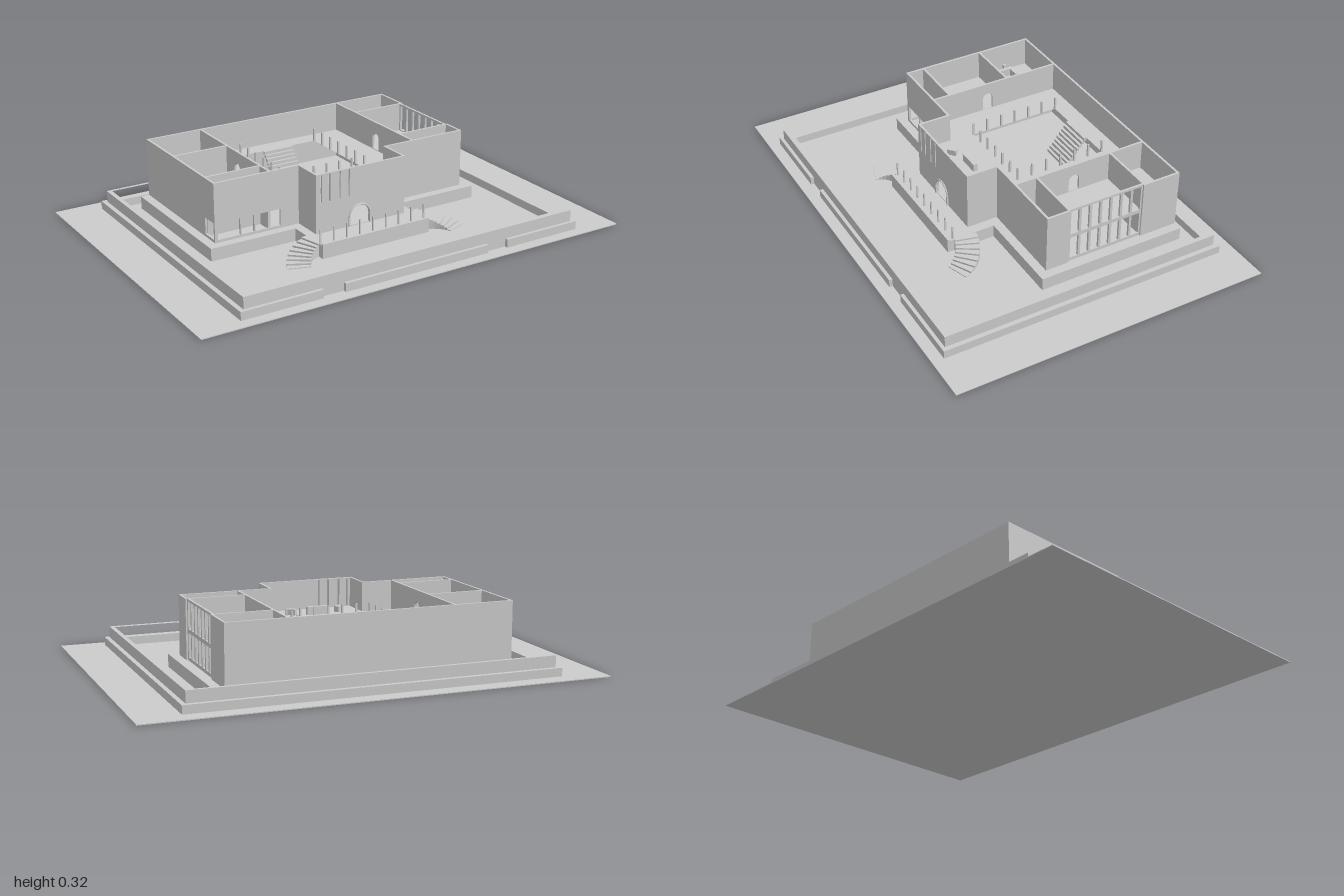
import * as THREE from 'three';

const mat = new THREE.MeshStandardMaterial({ color: 0xcccccc, flatShading: true });
const BASE = 0.06, FLOOR = 0.19, TOP = 0.32, T = 0.01;

export function createModel() {
  const model = new THREE.Group();

  const add = (name, geo, parent = model) => {
    const m = new THREE.Mesh(geo, mat);
    m.name = name;
    parent.add(m);
    return m;
  };
  const group = (name) => {
    const g = new THREE.Group();
    g.name = name;
    model.add(g);
    return g;
  };
  const box = (name, x0, x1, y0, y1, z0, z1, parent) => {
    const m = add(name, new THREE.BoxGeometry(x1 - x0, y1 - y0, z1 - z0), parent);
    m.position.set((x0 + x1) / 2, (y0 + y1) / 2, (z0 + z1) / 2);
    return m;
  };
  const rect = (x0, x1, y0, y1) => [[x0, y0], [x1, y0], [x1, y1], [x0, y1]];
  const extrude = (pts, depth, holes = []) => {
    const s = new THREE.Shape(pts.map(p => new THREE.Vector2(...p)));
    holes.forEach(h => s.holes.push(new THREE.Path(h.map(p => new THREE.Vector2(...p)))));
    return new THREE.ExtrudeGeometry(s, { depth, bevelEnabled: false });
  };
  // Horizontal plate from (x, z) outlines
  const plate = (name, pts, y0, y1, holes = [], parent) => {
    const flip = a => a.map(([x, z]) => [x, -z]);
    const g = extrude(flip(pts), y1 - y0, holes.map(flip)).rotateX(-Math.PI / 2).translate(0, y0, 0);
    return add(name, g, parent);
  };
  // Upright walls with openings, running along x or along z
  const wallX = (name, x0, x1, y0, y1, z, holes = []) =>
    add(name, extrude(rect(x0, x1, y0, y1), T, holes).translate(0, 0, z));
  const wallZ = (name, z0, z1, y0, y1, x, holes = []) =>
    add(name, extrude(rect(z0, z1, y0, y1), T, holes).rotateY(-Math.PI / 2).translate(x + T, 0, 0));
  const arch = (c, r, y0, ySpring) => {
    const pts = [[c - r, y0], [c + r, y0]];
    for (let i = 0; i <= 10; i++) {
      const a = Math.PI * i / 10;
      pts.push([c + r * Math.cos(a), ySpring + r * Math.sin(a)]);
    }
    return pts;
  };

  // Ground
  box('ground', -1, 1, 0, 0.004, -0.705, 0.70);

  // Perimeter wall on a wider kerb, with two gaps in the front kerb
  plate('perimeterWall', rect(-0.79, 0.79, -0.615, 0.635), 0.002, 0.09, [rect(-0.77, 0.77, -0.6, 0.61)]);
  const kerb = group('kerb');
  plate('kerbSidesAndBack', [[-0.81, -0.635], [0.81, -0.635], [0.81, 0.65], [0.77, 0.65], [0.77, -0.6],
    [-0.77, -0.6], [-0.77, 0.65], [-0.81, 0.65]], 0.002, 0.04, [], kerb);
  [[-0.77, -0.45], [-0.35, 0.34], [0.44, 0.77]].forEach(([a, b]) =>
    box('kerbFront', a, b, 0.002, 0.04, 0.61, 0.65, kerb));

  // Plinth with the entrance terrace
  plate('plinth', [[-0.66, -0.545], [0.655, -0.545], [0.655, 0.125], [0.26, 0.125], [0.26, 0.335],
    [-0.265, 0.335], [-0.265, 0.125], [-0.66, 0.125]], 0.002, BASE);
  box('terraceEdge', -0.265, 0.26, 0.002, BASE + 0.008, 0.333, 0.343);

  // Curved terrace stairs
  [-1, 1].forEach(side => {
    const stairs = group(side < 0 ? 'rightCurvedStairs' : 'leftCurvedStairs');
    const n = 8, a0 = 1.68, a1 = 2.82;
    for (let i = 0; i < n; i++) {
      const pt = (r, a) => [-side * (-0.24 + r * Math.cos(a)), 0.42 - r * Math.sin(a)];
      const s = a0 + (a1 - a0) * i / n, e = a0 + (a1 - a0) * (i + 1) / n;
      plate('step', [pt(0.21, s), pt(0.21, e), pt(0.11, e), pt(0.11, s)],
        0.002, BASE * (1 - i / n), [], stairs);
    }
  });

  // Terrace balustrade posts
  const terracePosts = group('terracePosts');
  for (let i = 0; i < 9; i++) {
    const x = -0.26 + i * 0.064;
    box('post', x - 0.003, x + 0.003, BASE, 0.125, 0.312, 0.318, terracePosts);
  }

  // Outer walls
  wallX('backWall', -0.62, 0.615, BASE, TOP, -0.545);
  wallZ('rightSideWall', -0.535, 0.085, BASE, TOP, -0.62, [rect(0.0, 0.075, BASE + 0.012, 0.145)]);
  const windows = [];
  for (let i = 0; i < 7; i++) {
    const z = -0.362 + i * 0.049;
    windows.push(rect(z, z + 0.038, 0.075, 0.178), rect(z, z + 0.038, 0.195, 0.31));
  }
  wallZ('leftSideWindowWall', -0.375, -0.015, BASE, TOP, 0.598, windows);
  wallZ('leftSideRearWall', -0.535, -0.37, BASE, TOP, 0.605);
  wallZ('leftSideFrontWall', -0.02, 0.085, BASE, TOP, 0.605);
  wallX('leftWingFront', 0.215, 0.615, BASE, TOP, 0.075);
  const glazing = [-0.61, -0.5, -0.435, -0.37, -0.31];
  wallX('rightWingFront', -0.62, -0.225, BASE, TOP, 0.075,
    glazing.slice(1).map((x, i) => rect(glazing[i] + 0.003, x - 0.003, BASE + 0.012, 0.145)));

  // Entrance block with arched door and tall slits
  wallX('entranceFront', -0.225, 0.215, BASE, TOP, 0.215,
    [arch(-0.012, 0.05, BASE + 0.003, 0.1),
      ...[-0.2, -0.16, -0.11, -0.066].map(x => rect(x - 0.004, x + 0.004, FLOOR + 0.003, TOP - 0.004))]);
  wallZ('entranceSide', 0.075, 0.225, BASE, TOP, -0.225);
  wallZ('entranceSide', 0.075, 0.225, BASE, TOP, 0.205);
  const doorFrame = add('doorFrame', new THREE.TorusGeometry(0.052, 0.004, 6, 16, Math.PI));
  doorFrame.position.set(-0.012, 0.1, 0.227);
  for (const x of [-0.064, 0.04]) box('doorJamb', x - 0.004, x + 0.004, BASE, 0.1, 0.223, 0.231);

  // Room partitions
  wallZ('rightWingPartition', -0.535, 0.075, BASE, TOP, -0.365,
    [arch(-0.19, 0.025, FLOOR + 0.002, 0.245)]);
  wallZ('leftWingPartition', -0.535, 0.075, BASE, TOP, 0.35,
    [arch(-0.2, 0.025, FLOOR + 0.002, 0.245)]);
  [-0.295, -0.005].forEach(z => wallX('rightRoomWall', -0.61, -0.365, BASE, TOP, z));
  [-0.38, -0.025].forEach(z => wallX('leftRoomWall', 0.36, 0.605, BASE, TOP, z));

  // Upper floor with the hall opening and its stair
  const x0 = -0.205, x1 = 0.18, z0 = -0.455, z1 = -0.035;
  plate('upperFloor', [[-0.615, -0.54], [0.6, -0.54], [0.6, 0.08], [0.21, 0.08], [0.21, 0.22],
    [-0.22, 0.22], [-0.22, 0.08], [-0.615, 0.08]], FLOOR - T, FLOOR, [rect(x0, x1, z0, z1)]);
  const stair = group('hallStairs');
  for (let i = 0; i < 9; i++) {
    const z = z0 + i * 0.0117, y = FLOOR - i * 0.0144;
    box('step', -0.09, 0.06, y - 0.014, y, z, z + 0.0125, stair);
  }

  // Posts round the hall opening
  const hallPosts = group('hallPosts');
  const post = (x, z) => box('post', x - 0.004, x + 0.004, FLOOR, FLOOR + 0.06, z - 0.004, z + 0.004, hallPosts);
  for (let i = 0; i < 7; i++) {
    const z = z0 + (z1 - z0) * i / 6;
    post(x0, z);
    post(x1, z);
    if (i > 0 && i < 6) post(x0 + (x1 - x0) * i / 6, z1);
  }

  // Furniture
  box('receptionDesk', -0.055, 0.04, FLOOR, FLOOR + 0.035, 0.08, 0.1);
  [[-0.12, 0.7], [0.1, -0.7]].forEach(([x, turn]) => {
    const bench = box('bench', x - 0.02, x + 0.02, FLOOR, FLOOR + 0.025, 0.105, 0.127);
    bench.rotation.y = turn;
  });
  plate('cornerDesk', [[-0.57, -0.435], [-0.5, -0.435], [-0.5, -0.42], [-0.552, -0.42],
    [-0.552, -0.34], [-0.57, -0.34]], FLOOR, FLOOR + 0.035);
  [-0.42, -0.325].forEach(z => box('stool', -0.612, -0.596, FLOOR, FLOOR + 0.03, z - 0.008, z + 0.008));

  return model;
}
